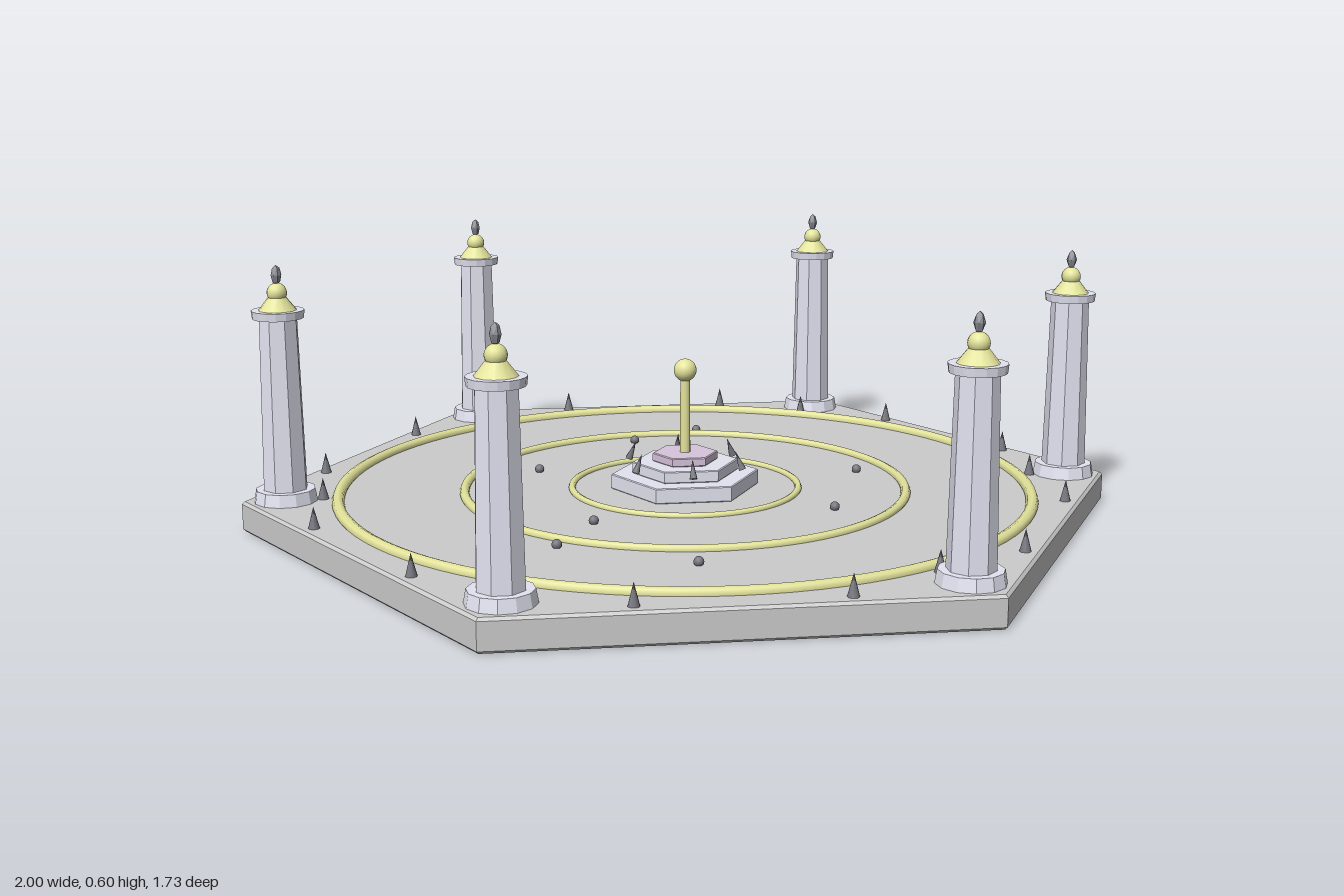
import * as THREE from 'three';

const paint = (color, flatShading = false) => new THREE.MeshStandardMaterial({ color, flatShading });
const stone = paint(0xcccccc, true);
const marble = paint(0xe4e4f2, true);
const lilac = paint(0xd8c4dc, true);
const gold = paint(0xe4e49c);
const dark = paint(0x777780);
const darkFlat = paint(0x8a8a92, true);

function add(parent, name, geometry, material, x = 0, y = 0, z = 0) {
  const mesh = new THREE.Mesh(geometry, material);
  mesh.name = name;
  mesh.position.set(x, y, z);
  parent.add(mesh);
  return mesh;
}

// Upright prism or cone frustum standing between two heights
function column(parent, name, rTop, rBottom, y0, y1, sides, material) {
  return add(parent, name, new THREE.CylinderGeometry(rTop, rBottom, y1 - y0, sides), material, 0, (y0 + y1) / 2, 0);
}

// Hexagonal slab with corners on the x axis and a small bevel
function hexSlab(parent, name, radius, y0, y1, bevel, material) {
  const shape = new THREE.Shape();
  const r = radius - bevel / Math.cos(Math.PI / 6);
  for (let i = 0; i < 6; i++) {
    const a = i * Math.PI / 3;
    shape[i ? 'lineTo' : 'moveTo'](r * Math.cos(a), r * Math.sin(a));
  }
  shape.closePath();
  const geometry = new THREE.ExtrudeGeometry(shape, {
    depth: y1 - y0 - 2 * bevel, bevelEnabled: true, bevelSize: bevel,
    bevelThickness: bevel, bevelSegments: 1,
  });
  geometry.rotateX(-Math.PI / 2);
  return add(parent, name, geometry, material, 0, y0 + bevel, 0);
}

function makePillar() {
  const pillar = new THREE.Group();
  pillar.name = 'pillar';
  column(pillar, 'plinth', 0.066, 0.072, 0.065, 0.098, 12, marble);
  column(pillar, 'shaft', 0.043, 0.05, 0.095, 0.487, 8, marble);
  column(pillar, 'capital', 0.058, 0.056, 0.484, 0.502, 16, marble);
  column(pillar, 'roof', 0.02, 0.042, 0.502, 0.53, 12, gold);
  add(pillar, 'roofBall', new THREE.SphereGeometry(0.022, 16, 12), gold, 0, 0.54, 0);
  const flame = add(pillar, 'finial', new THREE.OctahedronGeometry(0.012, 1), darkFlat, 0, 0.579, 0);
  flame.scale.y = 1.85;
  return pillar;
}

export function createModel() {
  const model = new THREE.Group();
  model.name = 'hexagonalShrine';

  // Platform and inlaid rings
  hexSlab(model, 'platform', 1, 0, 0.07, 0.006, stone);
  for (const [radius, tube] of [[0.787, 0.014], [0.505, 0.011], [0.26, 0.008]]) {
    const ring = add(model, 'floorRing', new THREE.TorusGeometry(radius, tube, 8, 96), gold, 0, 0.072, 0);
    ring.rotation.x = -Math.PI / 2;
  }

  // Stepped dais with the central staff
  const dais = new THREE.Group();
  dais.name = 'dais';
  model.add(dais);
  hexSlab(dais, 'lowerStep', 0.17, 0.07, 0.105, 0.002, marble);
  hexSlab(dais, 'middleStep', 0.122, 0.105, 0.132, 0.002, marble);
  hexSlab(dais, 'upperStep', 0.075, 0.132, 0.152, 0.002, lilac);
  column(dais, 'staff', 0.011, 0.012, 0.15, 0.335, 12, gold);
  add(dais, 'staffBall', new THREE.SphereGeometry(0.026, 24, 16), gold, 0, 0.343, 0);

  // Six sectors: pillar, edge spikes and spikes leaning towards the staff
  const spike = new THREE.ConeGeometry(0.013, 0.05, 8);
  const smallSpike = new THREE.ConeGeometry(0.009, 0.045, 8);
  for (let i = 0; i < 6; i++) {
    const sector = new THREE.Group();
    sector.name = 'sector';
    sector.rotation.y = i * Math.PI / 3;
    model.add(sector);

    const pillar = makePillar();
    pillar.position.x = 0.902;
    pillar.rotation.y = Math.PI / 8 - sector.rotation.y;
    sector.add(pillar);

    add(sector, 'innerSpike', spike, dark, 0.82, 0.093, 0);
    for (const side of [-1, 1]) {
      const a = side * 16 * Math.PI / 180;
      add(sector, 'edgeSpike', spike, dark, 0.86 * Math.cos(a), 0.093, 0.86 * Math.sin(a));
    }
    const a = Math.PI / 6;
    const lean = new THREE.Group();
    lean.name = 'daisSpikeMount';
    lean.rotation.y = a;
    sector.add(lean);
    add(lean, 'daisSpike', smallSpike, dark, 0.132, 0.144, 0).rotation.z = 0.4;
  }

  // Pebbles scattered between the rings
  const pebble = new THREE.SphereGeometry(0.011, 10, 8);
  const spots = [[-0.07, -0.435], [0.1, -0.53], [-0.325, -0.175], [0.42, -0.075],
    [0.3, 0.24], [-0.235, 0.28], [-0.325, 0.445], [-0.053, 0.6]];
  for (const [x, z] of spots) add(model, 'pebble', pebble, dark, x, 0.077, z);

  return model;
}
